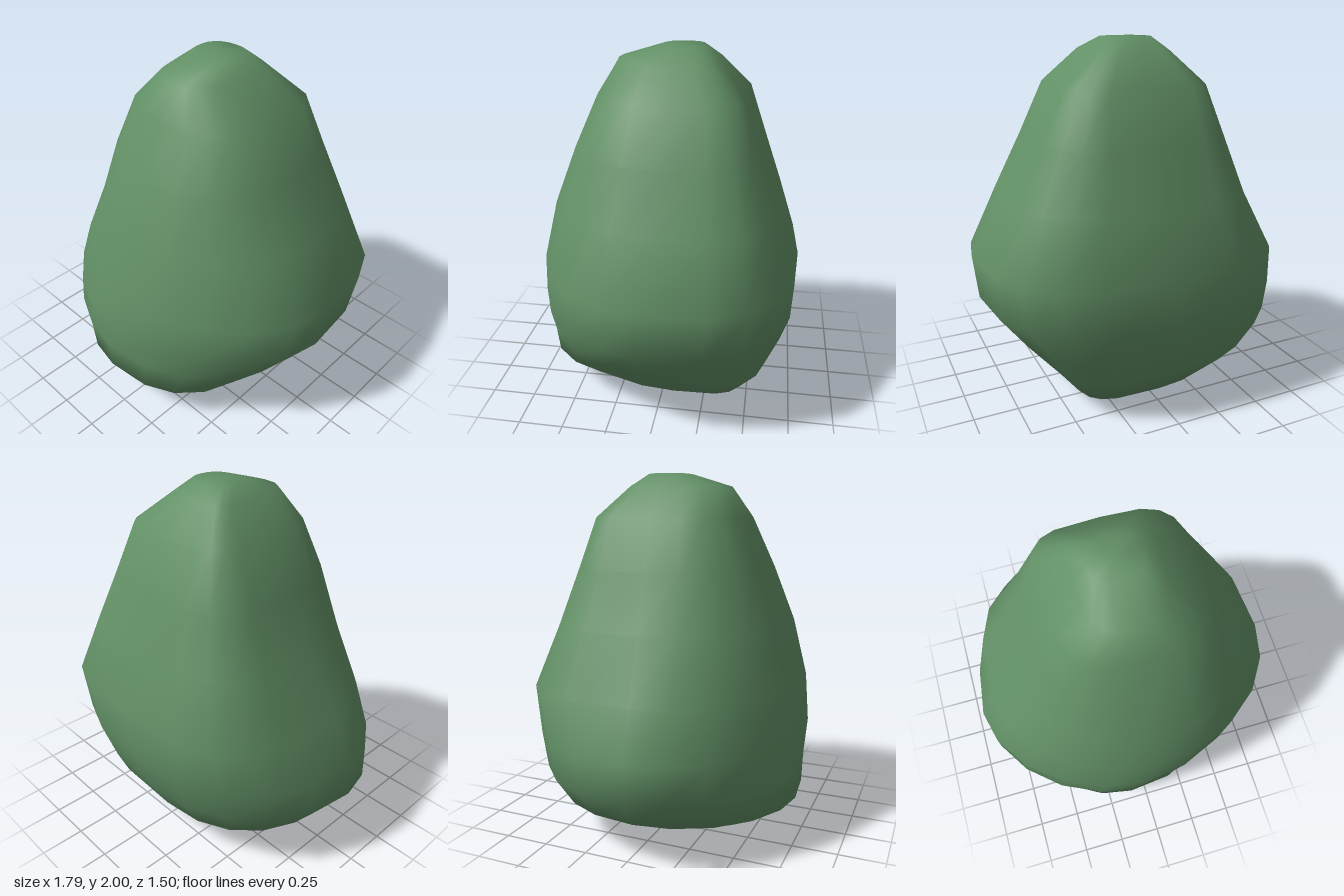
import * as THREE from 'three';

// Horizontal sections: height, right x, left x, back z, front z, widest z,
// then corner squareness at the front left, front right, back left, back right
const SECTIONS = [
  [0.00, -0.13, 0.18, -0.10, 0.12, 0.03, 2.0, 2.0, 2.0, 2.0],
  [0.065, -0.45, 0.42, -0.49, 0.52, -0.08, 2.1, 2.0, 4.5, 2.3],
  [0.22, -0.76, 0.54, -0.61, 0.73, 0.04, 2.6, 1.9, 4.8, 2.3],
  [0.39, -0.90, 0.71, -0.70, 0.74, 0.05, 2.1, 1.8, 3.0, 2.2],
  [0.58, -0.90, 0.86, -0.75, 0.75, 0.05, 1.9, 1.8, 2.7, 2.3],
  [0.84, -0.79, 0.89, -0.75, 0.71, 0.04, 2.0, 1.9, 2.9, 3.3],
  [1.17, -0.61, 0.73, -0.645, 0.63, 0.00, 2.1, 2.1, 2.9, 3.4],
  [1.48, -0.49, 0.57, -0.535, 0.51, -0.02, 2.3, 2.4, 3.2, 3.6],
  [1.76, -0.37, 0.44, -0.435, 0.38, -0.03, 2.5, 2.7, 3.6, 4.6],
  [1.93, -0.20, 0.23, -0.27, 0.28, -0.03, 2.4, 2.6, 3.4, 5.0],
  [2.00, -0.13, 0.15, -0.19, 0.05, -0.07, 2.4, 2.4, 2.4, 2.4],
];
const SIDES = 20;

// Rounded power curve: a higher p makes a squarer corner
const bend = (v, p) => Math.sign(v) * Math.pow(Math.abs(v), 2 / p);

function boulderGeometry() {
  const positions = [], indices = [];
  for (const [y, x0, x1, zb, zf, zc, frontLeft, frontRight, backLeft, backRight] of SECTIONS) {
    const cx = (x0 + x1) / 2, rx = (x1 - x0) / 2;
    for (let i = 0; i < SIDES; i++) {
      const a = (i / SIDES) * Math.PI * 2;
      const c = Math.cos(a), s = Math.sin(a);
      const p = s > 0 ? (c > 0 ? frontLeft : frontRight) : (c > 0 ? backLeft : backRight);
      const depth = s > 0 ? zf - zc : zc - zb;
      positions.push(cx + rx * bend(c, p), y, zc + depth * bend(s, p));
    }
  }
  // Skin between neighbouring sections
  const last = SECTIONS.length - 1;
  for (let r = 0; r < last; r++) {
    for (let i = 0; i < SIDES; i++) {
      const j = (i + 1) % SIDES;
      const a = r * SIDES + i, b = r * SIDES + j;
      indices.push(a, a + SIDES, b, b, a + SIDES, b + SIDES);
    }
  }
  // Close the underside and the crown
  const bottom = positions.length / 3, top = bottom + 1;
  positions.push(0.02, 0, 0.03, 0, 2, -0.07);
  for (let i = 0; i < SIDES; i++) {
    const j = (i + 1) % SIDES;
    indices.push(bottom, i, j, top, last * SIDES + j, last * SIDES + i);
  }
  const geometry = new THREE.BufferGeometry();
  geometry.setAttribute('position', new THREE.Float32BufferAttribute(positions, 3));
  geometry.setIndex(indices);
  geometry.computeVertexNormals();
  return geometry;
}

export function createModel() {
  const group = new THREE.Group();
  group.name = 'boulder';
  const stone = new THREE.Mesh(boulderGeometry(), new THREE.MeshStandardMaterial({ color: 0x629066 }));
  stone.name = 'stone';
  group.add(stone);
  return group;
}
